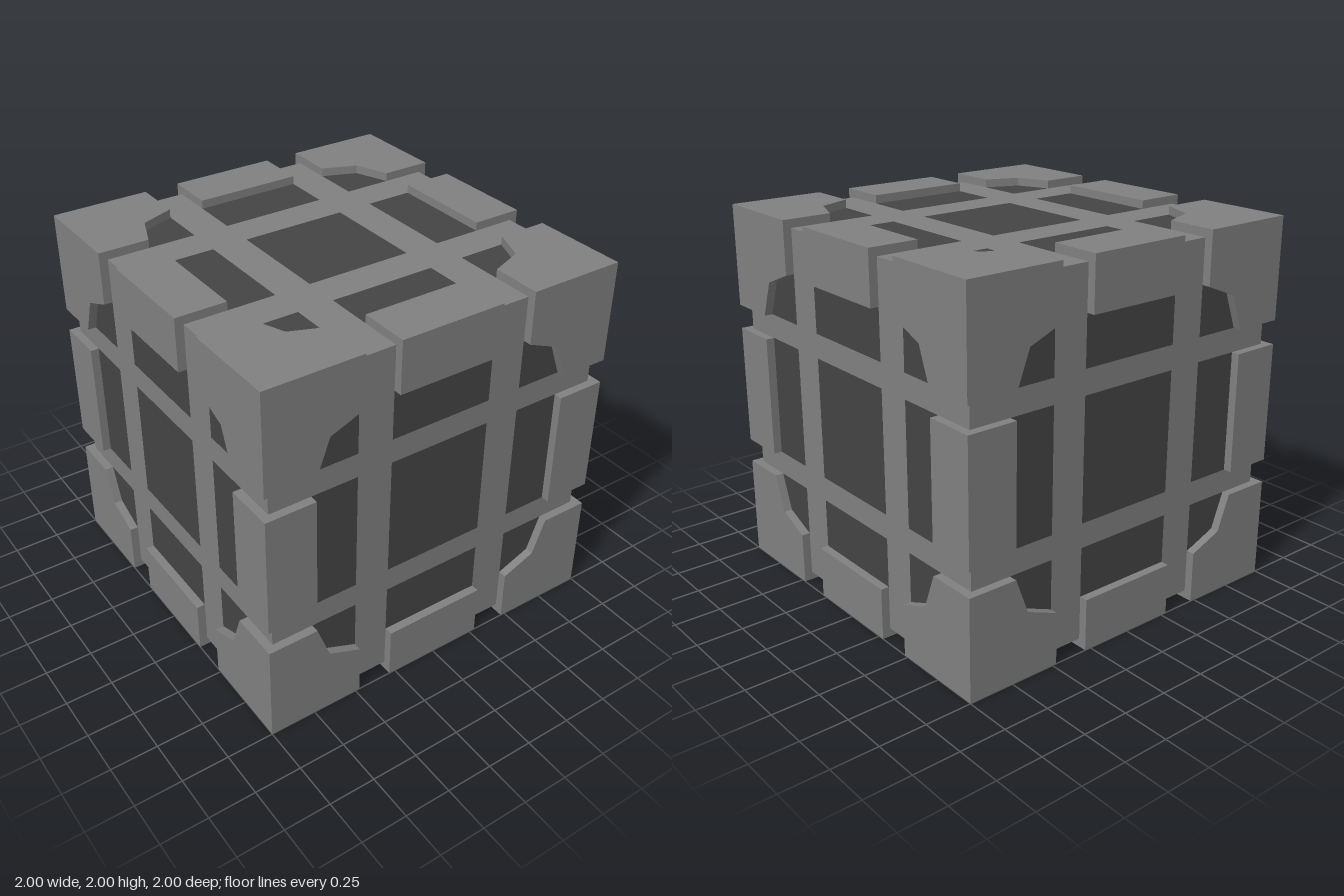
import * as THREE from 'three';

const CORE = 0.955;                 // half size of the core cube
const OUT = 1;                      // half size over the raised plates
// per-axis (x, y, z) distances from the centre
const BAND_IN = [0.285, 0.325, 0.285];
const BAND_OUT = [0.476, 0.455, 0.476];
const BEND = [0.658, 0.647, 0.658];
const PLATE_IN = [0.73, 0.72, 0.73];

const light = new THREE.MeshStandardMaterial({ color: 0x808080 });
const dark = new THREE.MeshStandardMaterial({ color: 0x444444 });

// point on the face of axis a, with u and v along the next two axes
function onFace(a, depth, u, v) {
  const p = [0, 0, 0];
  p[a] = depth;
  p[(a + 1) % 3] = u;
  p[(a + 2) % 3] = v;
  return p;
}

// convex or star-shaped polygon as a triangle fan
function fan(out, pts) {
  for (let i = 1; i < pts.length - 1; i++) out.push(pts[0], pts[i], pts[i + 1]);
}

// flat-faced mesh from triangle corners, mirrored by signs
function makeMesh(name, corners, material, signs = [1, 1, 1]) {
  const flip = signs[0] * signs[1] * signs[2] < 0;
  const pos = [];
  for (let i = 0; i < corners.length; i += 3) {
    for (const j of flip ? [0, 2, 1] : [0, 1, 2]) {
      pos.push(...corners[i + j].map((c, k) => c * signs[k]));
    }
  }
  const g = new THREE.BufferGeometry();
  g.setAttribute('position', new THREE.Float32BufferAttribute(pos, 3));
  g.computeVertexNormals();
  const mesh = new THREE.Mesh(g, material);
  mesh.name = name;
  return mesh;
}

// outer faces plus the short walls down to the core
function raisedShell(faces) {
  const out = [];
  const down = (p) => p.map((c) => Math.min(c, CORE));
  for (const pts of faces) {
    fan(out, pts);
    pts.forEach((p, i) => {
      const q = pts[(i + 1) % pts.length];
      const shared = p.filter((c, k) => c === OUT && q[k] === OUT).length;
      if (shared < 2) fan(out, [down(p), down(q), q, p]);
    });
  }
  return out;
}

// corner cap: three stepped plates meeting at one corner
function cornerShell() {
  return raisedShell([0, 1, 2].map((a) => {
    const b = (a + 1) % 3, c = (a + 2) % 3;
    return [
      [OUT, OUT], [BAND_OUT[b], OUT], [BAND_OUT[b], PLATE_IN[c]],
      [BEND[b], BEND[c]], [PLATE_IN[b], BAND_OUT[c]], [OUT, BAND_OUT[c]],
    ].map(([u, v]) => onFace(a, OUT, u, v));
  }));
}

// edge guard along axis k: two plates meeting at the cube's edge
function edgeShell(k) {
  const a = (k + 1) % 3, b = (k + 2) % 3, e = BAND_IN[k];
  return raisedShell([
    [[OUT, e], [PLATE_IN[b], e], [PLATE_IN[b], -e], [OUT, -e]].map(([u, v]) => onFace(a, OUT, u, v)),
    [[e, OUT], [-e, OUT], [-e, PLATE_IN[a]], [e, PLATE_IN[a]]].map(([u, v]) => onFace(b, OUT, u, v)),
  ]);
}

export function createModel() {
  const model = new THREE.Group();
  model.name = 'crate';

  // core cube: light crossing bands with dark panels between them
  const cuts = [0, 1, 2].map((k) =>
    [-CORE, -BAND_OUT[k], -BAND_IN[k], BAND_IN[k], BAND_OUT[k], CORE]);
  const bands = [], panels = [];
  for (let a = 0; a < 3; a++) {
    const U = cuts[(a + 1) % 3], V = cuts[(a + 2) % 3];
    for (const s of [1, -1]) {
      for (let i = 0; i < 5; i++) {
        for (let j = 0; j < 5; j++) {
          const quad = [[U[i], V[j]], [U[i + 1], V[j]], [U[i + 1], V[j + 1]], [U[i], V[j + 1]]]
            .map(([u, v]) => onFace(a, s * CORE, u, v));
          if (s < 0) quad.reverse();
          fan(i % 2 || j % 2 ? bands : panels, quad);
        }
      }
    }
  }
  model.add(makeMesh('bands', bands, light), makeMesh('panels', panels, dark));

  // eight corner caps
  const corner = cornerShell();
  for (const x of [1, -1]) for (const y of [1, -1]) for (const z of [1, -1]) {
    model.add(makeMesh('cornerCap', corner, light, [x, y, z]));
  }

  // twelve edge guards
  for (let k = 0; k < 3; k++) {
    const edge = edgeShell(k);
    for (const s of [1, -1]) for (const t of [1, -1]) {
      model.add(makeMesh('edgeGuard', edge, light, onFace(k, 1, s, t)));
    }
  }

  model.position.y = 1;
  return model;
}
